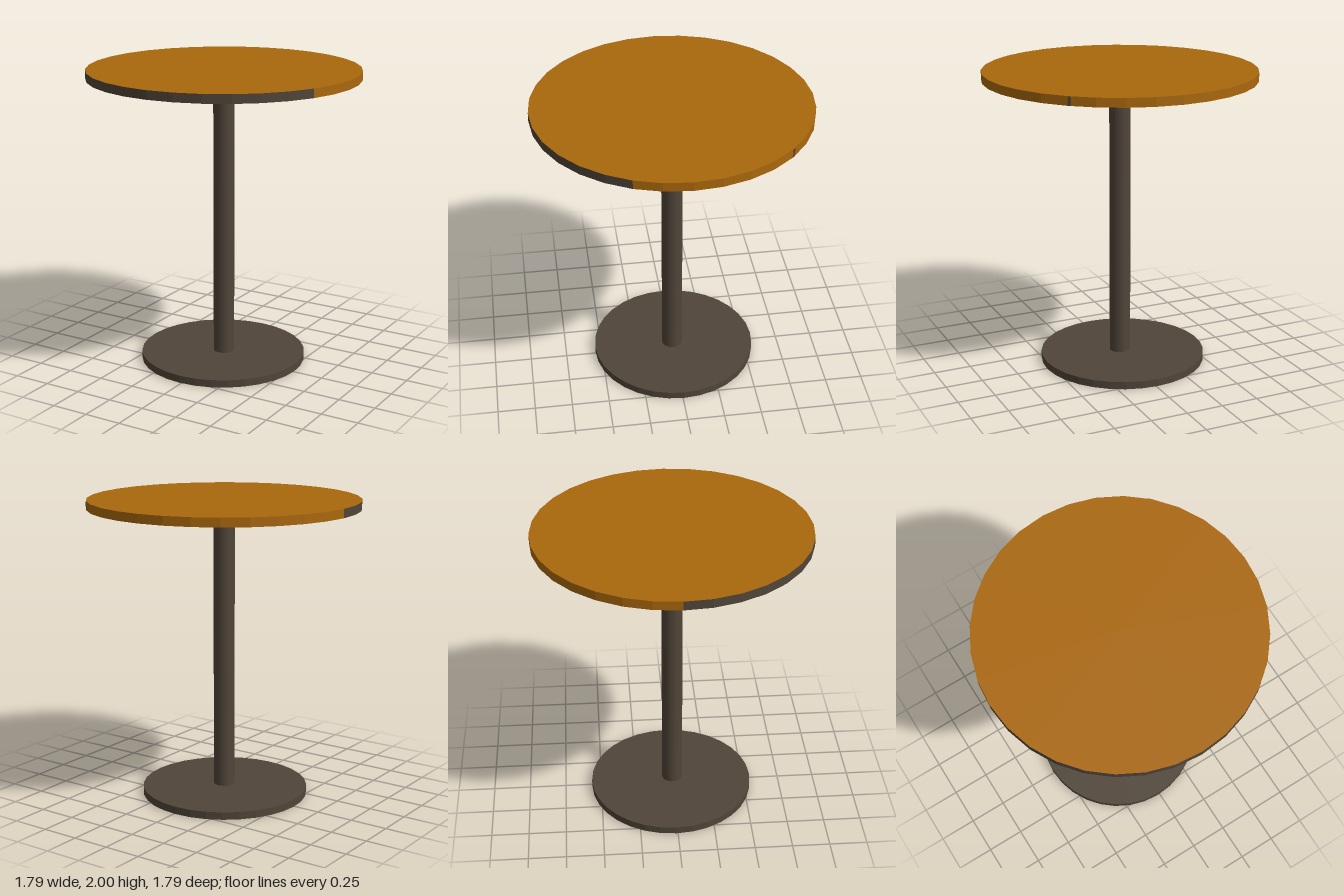
import * as THREE from 'three';

const SIDES = 32;
const STEP = (Math.PI * 2) / SIDES;

// Faceted disc or post standing on y = bottom
function facetedCylinder(radius, bottom, top, thetaStart = 0) {
  const indexed = new THREE.CylinderGeometry(radius, radius, top - bottom, SIDES, 1, false, thetaStart);
  const geometry = indexed.toNonIndexed();
  geometry.translate(0, (top + bottom) / 2, 0);
  geometry.computeVertexNormals();
  return geometry;
}

export function createModel() {
  const wood = new THREE.MeshStandardMaterial({ color: 0xaa680c });
  wood.name = 'amber wood';
  const metal = new THREE.MeshStandardMaterial({ color: 0x504539 });
  metal.name = 'dark bronze metal';

  const model = new THREE.Group();
  model.name = 'pedestalTable';
  const add = (name, geometry, material) => {
    const mesh = new THREE.Mesh(geometry, material);
    mesh.name = name;
    model.add(mesh);
    return mesh;
  };

  // Table top: wooden faces, rim part wood (18 sides) and part metal (14 sides)
  const R = 0.895, topBottom = 1.942, topTop = 2;
  const top = facetedCylinder(R, topBottom, topTop, 6 * STEP);
  const woodSides = 18;
  top.clearGroups();
  top.addGroup(0, woodSides * 6, 0);
  top.addGroup(woodSides * 6, (SIDES - woodSides) * 6, 1);
  top.addGroup(SIDES * 6, SIDES * 6, 0);
  add('tableTop', top, [wood, metal]);

  // Narrow metal sliver on the wooden part of the rim
  const facet = 12.5 * STEP;
  const sliver = new THREE.BoxGeometry(0.02, topTop - topBottom - 0.002, 0.004);
  sliver.translate(-R * Math.sin(STEP / 2) + 0.012, (topTop + topBottom) / 2, R * Math.cos(STEP / 2));
  sliver.rotateY(facet);
  add('rimSliver', sliver, metal);

  // Column
  add('column', facetedCylinder(0.07, 0.04, 1.945), metal);

  // Base plate, set slightly off centre
  add('basePlate', facetedCylinder(0.555, 0, 0.05), metal).position.set(-0.013, 0, -0.01);

  return model;
}
